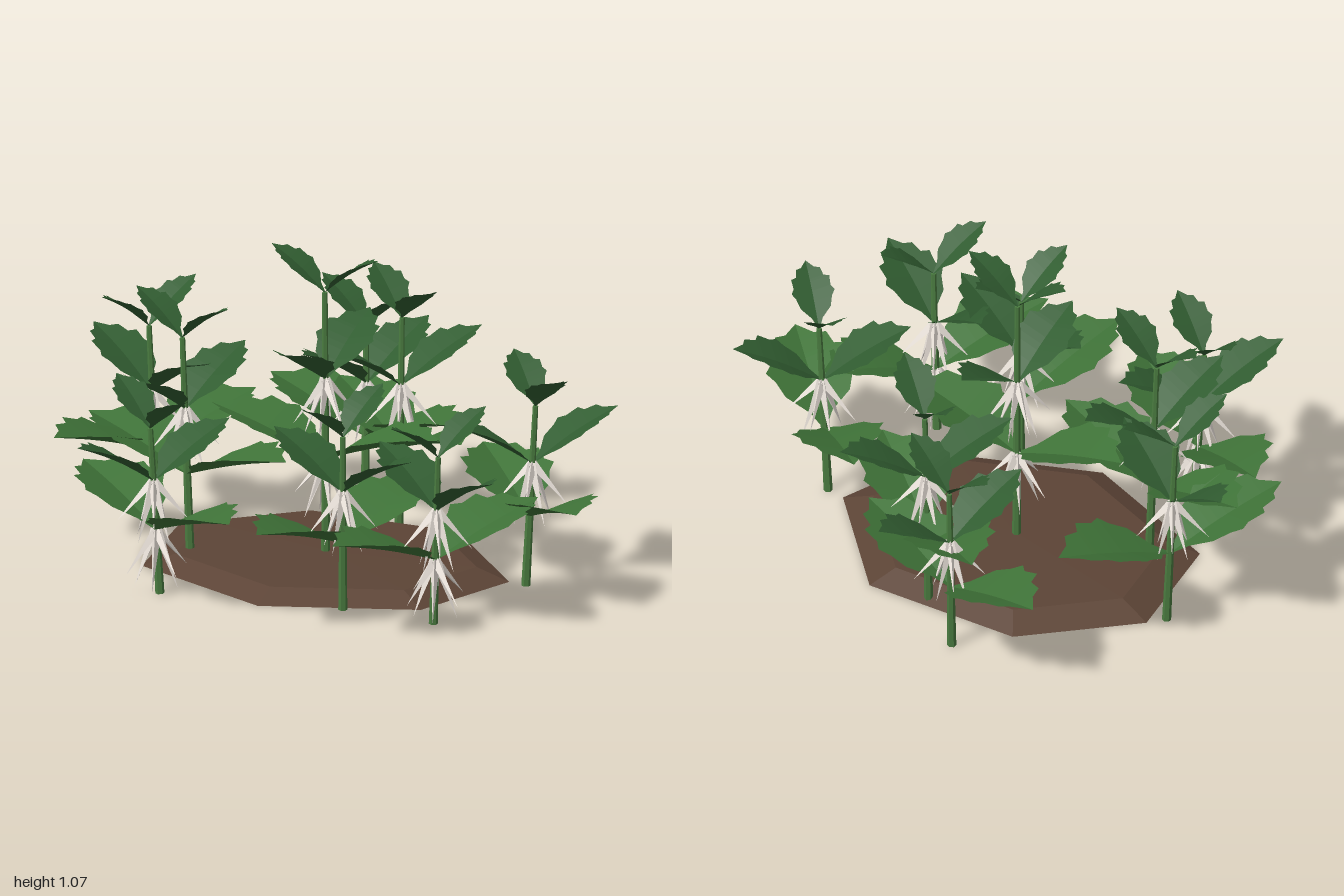
import * as THREE from 'three';

const mat = (color, side = THREE.FrontSide) =>
  new THREE.MeshStandardMaterial({ color, side, flatShading: true });
const lowLeafMat = mat(0x3f7338, THREE.DoubleSide);
const highLeafMat = mat(0x315d31, THREE.DoubleSide);
const stemMat = mat(0x4a7c40);
const flowerMat = mat(0xf0e8e0);
const soilMat = mat(0x5c4436);

// Toothed leaf of unit length along +x: [distance, half width], folded up along the midrib
const EDGE = [[0, 0.015], [0.12, 0.09], [0.23, 0.25], [0.36, 0.3], [0.43, 0.36], [0.51, 0.31],
  [0.65, 0.32], [0.69, 0.23], [0.82, 0.2], [0.86, 0.11], [1, 0]];

function leafGeometry(length, rise, fold) {
  const pos = [], index = [];
  const ribY = t => rise * (t + 0.08 * Math.sin(Math.PI * t));
  for (const [t, w] of EDGE) {
    const y = ribY(t);
    pos.push(t * length, y, 0);
    for (const s of [1, -1]) pos.push(t * length, y + w * length * fold, s * w * length);
  }
  for (let i = 0; i < EDGE.length - 1; i++) {
    const a = i * 3, b = a + 3;
    index.push(a, a + 1, b + 1, a, b + 1, b, a, b, b + 2, a, b + 2, a + 2);
  }
  const g = new THREE.BufferGeometry();
  g.setAttribute('position', new THREE.Float32BufferAttribute(pos, 3));
  g.setIndex(index);
  g.computeVertexNormals();
  return g;
}

// Leaf tiers: share of the stem height, quarter turn, leaf shape
const TIERS = [
  { name: 'lowerLeaf', at: 0.385, turn: 0, geo: leafGeometry(0.43, 0.13, 0.32), mat: lowLeafMat },
  { name: 'middleLeaf', at: 0.68, turn: Math.PI / 2, geo: leafGeometry(0.3, 0.165, 0.25), mat: highLeafMat },
  { name: 'topLeaf', at: 1, turn: 0, geo: leafGeometry(0.2, 0.138, 0.25), mat: highLeafMat },
];

// Thin spike with its thick end at the origin, pointing down
const spikeGeo = new THREE.ConeGeometry(0.018, 0.2, 3).rotateX(Math.PI).translate(0, -0.1, 0);

// Hanging flower spikes around one stem node
function flowerCluster(count, seed) {
  const cluster = new THREE.Group();
  cluster.name = 'flowerCluster';
  for (let i = 0; i < count; i++) {
    const spike = new THREE.Mesh(spikeGeo, flowerMat);
    spike.name = 'flowerSpike';
    spike.rotation.order = 'YXZ';
    spike.rotation.set(i % 2 ? 0.35 : 0.72, seed + (i / count) * Math.PI * 2, 0);
    spike.scale.setScalar(i % 2 ? 1.05 : 0.9);
    cluster.add(spike);
  }
  return cluster;
}

function plant({ x, z, h, dir, low }) {
  const g = new THREE.Group();
  g.name = 'plant';
  const top = new THREE.Vector3(x, h, z);
  const base = new THREE.Vector3(x * 0.95, 0, z * 0.95);
  const axis = top.clone().sub(base);

  const stem = new THREE.Mesh(new THREE.CylinderGeometry(0.009, 0.015, axis.length(), 6), stemMat);
  stem.name = 'stem';
  stem.position.copy(base).add(top).multiplyScalar(0.5);
  stem.quaternion.setFromUnitVectors(new THREE.Vector3(0, 1, 0), axis.clone().normalize());
  g.add(stem);

  const yaw = Math.atan2(-dir[1], dir[0]);
  TIERS.forEach((tier, k) => {
    const node = base.clone().lerp(top, tier.at);
    for (const half of [0, Math.PI]) {
      const leaf = new THREE.Mesh(tier.geo, tier.mat);
      leaf.name = tier.name;
      leaf.position.copy(node);
      leaf.rotation.y = yaw + tier.turn + half;
      g.add(leaf);
    }
    if (k === 1 || (k === 0 && low)) {
      const flowers = flowerCluster(8, yaw + k);
      flowers.position.copy(node);
      g.add(flowers);
    }
  });
  return g;
}

// Seven-sided soil patch with a bevelled rim
function soil() {
  const rim = [[0.46, 0.36], [0.59, -0.04], [0.23, -0.43], [-0.33, -0.43], [-0.65, -0.12],
    [-0.57, 0.32], [-0.04, 0.55]];
  const n = rim.length, pos = [], index = [];
  for (const [x, z] of rim) pos.push(x, 0, z, -0.03 + (x + 0.03) * 0.82, 0.04, 0.04 + (z - 0.04) * 0.82);
  pos.push(-0.03, 0, 0.04, -0.03, 0.045, 0.04);
  for (let i = 0; i < n; i++) {
    const a = i * 2, b = ((i + 1) % n) * 2;
    index.push(a, b, b + 1, a, b + 1, a + 1, a + 1, b + 1, 2 * n + 1, b, a, 2 * n);
  }
  const g = new THREE.BufferGeometry();
  g.setAttribute('position', new THREE.Float32BufferAttribute(pos, 3));
  g.setIndex(index);
  g.computeVertexNormals();
  const mesh = new THREE.Mesh(g, soilMat);
  mesh.name = 'soil';
  return mesh;
}

export function createModel() {
  const model = new THREE.Group();
  model.name = 'plantPatch';
  model.add(soil());
  // Stem tip position, height and lower leaf direction (x, z) of every plant
  const plants = [
    { x: -0.04, z: 0.04, h: 0.93, dir: [1, 0.07], low: true },
    { x: -0.2, z: -0.61, h: 0.61, dir: [-0.95, -0.31] },
    { x: 0.02, z: -0.42, h: 0.72, dir: [0.8, 0.6] },
    { x: -0.73, z: -0.07, h: 0.69, dir: [0.42, -0.91] },
    { x: -0.48, z: 0.2, h: 0.76, dir: [0.96, 0.27] },
    { x: -0.41, z: 0.59, h: 0.57, dir: [0.86, 0.51], low: true },
    { x: 0.24, z: 0.49, h: 0.6, dir: [-0.27, 0.96] },
    { x: 0.59, z: 0.5, h: 0.58, dir: [-0.44, 0.9], low: true },
    { x: 0.69, z: -0.03, h: 0.62, dir: [0.72, 0.69] },
  ];
  for (const p of plants) model.add(plant(p));
  return model;
}
